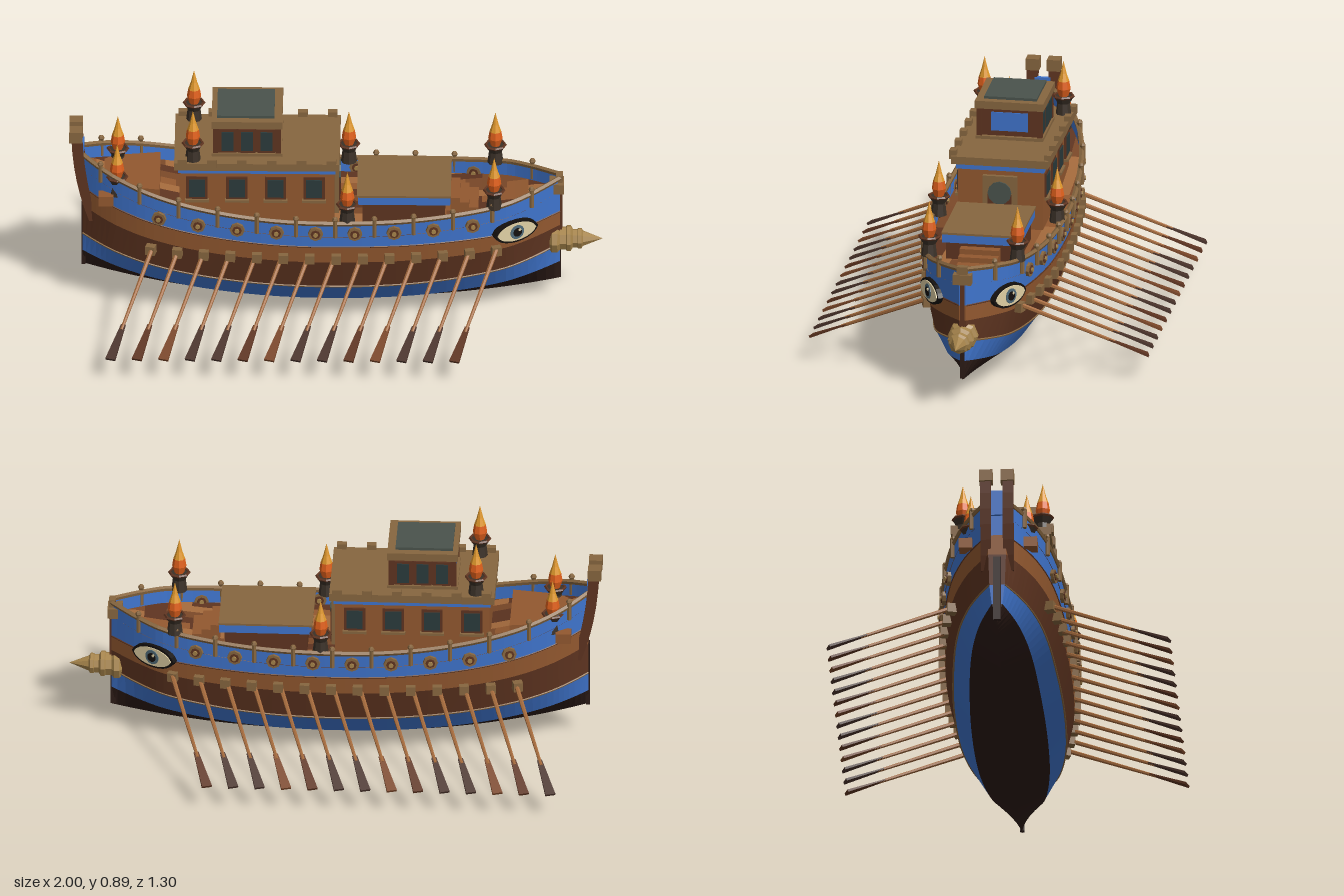
import * as THREE from 'three';

const BLUE = 0x3f74cc, BROWN = 0x92582f, DARK = 0x5e3420, KEEL = 0x2c1b16, TAN = 0x87663f, GLASS = 0x2b3b3c,
  SLATE = 0x4a534c, IRON = 0x3b3128, CREAM = 0xe0d0a4, BLACK = 0x14100e, GOLD = 0xa5834a, LIGHT = 0xa46a3c;

const mats = {};
function mat(color) {
  return mats[color] ??= new THREE.MeshStandardMaterial({ color, flatShading: true, side: THREE.DoubleSide });
}
function add(parent, name, geo, color, x = 0, y = 0, z = 0) {
  const m = new THREE.Mesh(geo, mat(color));
  m.name = name;
  m.position.set(x, y, z);
  parent.add(m);
  return m;
}
// Box given by its lower and upper corners
function box(parent, name, color, x0, x1, y0, y1, z0, z1) {
  return add(parent, name, new THREE.BoxGeometry(x1 - x0, y1 - y0, z1 - z0), color, (x0 + x1) / 2, (y0 + y1) / 2, (z0 + z1) / 2);
}
const group = (parent, name) => { const g = new THREE.Group(); g.name = name; parent.add(g); return g; };
const vectors = list => list.map(p => new THREE.Vector2(...p));

// Plan of the hull: half beam along x
const plan = new THREE.SplineCurve(vectors([[-0.95, 0.035], [-0.88, 0.095], [-0.8, 0.145], [-0.68, 0.19], [-0.5, 0.222], [-0.2, 0.245],
  [0.1, 0.245], [0.35, 0.225], [0.6, 0.175], [0.72, 0.112], [0.84, 0.014]])).getPoints(40);
function beam(x) {
  const i = plan.findIndex(p => p.x >= x);
  if (i < 1) return i === 0 ? plan[0].y : plan[plan.length - 1].y;
  const a = plan[i - 1], b = plan[i];
  return a.y + (b.y - a.y) * (x - a.x) / (b.x - a.x);
}
const yaw = x => Math.atan((beam(x - 0.03) - beam(x + 0.03)) / 0.06);
// Heights of the hull bands amidships, at the stern and at the bow, and their share of the beam
const MID = [0, 0.075, 0.163, 0.285, 0.355, 0.46], STERN = [0.14, 0.205, 0.285, 0.41, 0.49, 0.63],
  BOW = [0.09, 0.165, 0.245, 0.325, 0.385, 0.53], SHARE = [0, 0.57, 0.83, 0.955, 0.98, 1];
function level(x, k) {
  const t = Math.pow(Math.abs(x) / (x < 0 ? 0.95 : 0.84), 2.2);
  return MID[k] + ((x < 0 ? STERN : BOW)[k] - MID[k]) * t;
}
const deckY = x => level(x, 5) - 0.06;

// Surface between two rows of points
function ribbon(a, b) {
  const pos = [];
  for (let i = 0; i + 1 < a.length; i++)
    pos.push(...a[i], ...a[i + 1], ...b[i + 1], ...a[i], ...b[i + 1], ...b[i]);
  const g = new THREE.BufferGeometry();
  g.setAttribute('position', new THREE.Float32BufferAttribute(pos, 3));
  g.computeVertexNormals();
  return g;
}

function buildHull(ship) {
  const hull = group(ship, 'hull');
  const stations = [[-0.95, 0], ...plan.map(p => [p.x, p.y]), [0.84, 0]];
  const names = ['keelBand', 'lowerBlueBand', 'lowerPlanking', 'upperPlanking', 'bulwark'];
  const colors = [KEEL, BLUE, DARK, BROWN, BLUE];
  for (const s of [1, -1]) {
    const row = k => stations.map(([x, b]) => [x, level(x, k), s * b * SHARE[k]]);
    names.forEach((n, k) => add(hull, n, s > 0 ? ribbon(row(k), row(k + 1)) : ribbon(row(k + 1), row(k)), colors[k]));
    [[5, 0.01, TAN, 'topRail'], [2, 0.004, TAN, 'lowerTrim'], [4, 0.003, DARK, 'upperTrim']].forEach(([k, r, c, n]) => {
      const path = new THREE.CatmullRomCurve3(row(k).slice(1, -1).map(p => new THREE.Vector3(...p)));
      add(hull, n, new THREE.TubeGeometry(path, 50, r, 5), c);
    });
  }
  // Straight deck planks in mixed wood tones, trimmed to the hull's plan
  const tones = [BROWN, DARK, LIGHT, 0x7a4828], rows = 11, width = 0.045;
  const xs = plan.map(p => p.x);
  for (let r = 0; r < rows; r++)
    for (let i = 0, n = 0; i < xs.length - 1; n++) {
      const end = Math.min(xs.length - 1, i + 3 + ((r * 5 + n * 3) % 4));
      const edge = z => xs.slice(i, end + 1).map(x => [x, deckY(x), THREE.MathUtils.clamp(z, -beam(x), beam(x))]);
      const z = (r - rows / 2) * width;
      add(hull, 'deckPlank', ribbon(edge(z + width), edge(z)), tones[(r * 7 + n * 5 + ((r * n) % 3)) % 4]);
      i = end;
    }
}

function buildEnds(ship) {
  // Stem, prow block and stepped ram
  box(ship, 'stem', DARK, 0.825, 0.848, 0.3, 0.53, -0.008, 0.008);
  box(ship, 'stemFoot', KEEL, 0.825, 0.844, 0.095, 0.3, -0.008, 0.008);
  box(ship, 'prowBlock', TAN, 0.8, 0.855, 0.47, 0.51, -0.035, 0.035);
  box(ship, 'prowCap', TAN, 0.825, 0.85, 0.5, 0.54, -0.02, 0.02);
  const profile = [[0, 0], [0.045, 0], [0.057, 0.01], [0.057, 0.03], [0.045, 0.04], [0.045, 0.062], [0.05, 0.066], [0.05, 0.08],
    [0.036, 0.088], [0.036, 0.105], [0.04, 0.108], [0.04, 0.12], [0.03, 0.126], [0, 0.2]];
  add(ship, 'ram', new THREE.LatheGeometry(vectors(profile), 8), GOLD, 0.8, 0.26, 0).rotation.z = -Math.PI / 2;
  // Pair of curved sternposts, each with a block on top
  const shape = new THREE.Shape();
  shape.moveTo(-0.89, 0.355);
  shape.quadraticCurveTo(-0.945, 0.52, -0.952, 0.71);
  shape.lineTo(-0.992, 0.71);
  shape.quadraticCurveTo(-0.985, 0.52, -0.925, 0.355);
  const post = new THREE.ExtrudeGeometry(shape, { depth: 0.04, bevelEnabled: false, curveSegments: 6 });
  for (const s of [1, -1]) {
    add(ship, 'sternpost', post, DARK, 0, 0, s * 0.042 - 0.02);
    box(ship, 'sternBlock', TAN, -1, -0.95, 0.695, 0.74, s * 0.04 - 0.025, s * 0.04 + 0.025);
    box(ship, 'sternCleat', BROWN, -0.89, -0.833, 0.47, 0.51, s * 0.122 - 0.025, s * 0.122 + 0.025);
  }
  box(ship, 'sternKeel', KEEL, -0.955, -0.94, 0.14, 0.4, -0.014, 0.014);
  box(ship, 'sternPanel', BLUE, -0.96, -0.945, 0.57, 0.67, -0.03, 0.03);
  // Raised stern platform
  const p = new THREE.Shape(vectors([[-0.91, -0.06], [-0.83, -0.115], [-0.66, -0.14], [-0.66, 0.14], [-0.83, 0.115], [-0.91, 0.06]]));
  add(ship, 'sternPlatform', new THREE.ExtrudeGeometry(p, { depth: 0.09, bevelEnabled: false }), BROWN, 0, 0.54, 0).rotation.x = Math.PI / 2;
}

// Glazed window facing along z, set on a wall at side s
function windowPane(parent, s, x, y, z, w, h) {
  const f = box(parent, 'windowFrame', DARK, x - w / 2 - 0.01, x + w / 2 + 0.01, y - h / 2 - 0.01, y + h / 2 + 0.01, -0.004, 0.004);
  f.position.z = s * z;
  box(parent, 'windowGlass', GLASS, x - w / 2, x + w / 2, y - h / 2, y + h / 2, -0.004, 0.004).position.z = s * (z + 0.004);
}

function buildHouse(ship) {
  const house = group(ship, 'deckHouse');
  box(house, 'walls', BROWN, -0.585, -0.005, 0.39, 0.635, -0.162, 0.162);
  box(house, 'blueFrieze', BLUE, -0.59, 0, 0.628, 0.65, -0.167, 0.167);
  box(house, 'roof', TAN, -0.605, 0.015, 0.65, 0.68, -0.185, 0.185);
  // Battlements around the roof edge, windows below
  for (const s of [1, -1]) {
    for (let i = 0; i < 6; i++) {
      const x = -0.575 + i * 0.112;
      box(house, 'battlement', TAN, x - 0.018, x + 0.018, 0.665, 0.7, s * 0.18 - 0.013, s * 0.18 + 0.013);
    }
    for (const x of [-0.52, -0.37, -0.225, -0.08]) {
      windowPane(house, s, x, 0.565, 0.164, 0.06, 0.075);
      box(house, 'windowSill', TAN, x - 0.045, x + 0.045, 0.508, 0.518, s * 0.168 - 0.01, s * 0.168 + 0.01);
    }
  }
  // Arched door in a frame
  box(house, 'doorFrame', TAN, -0.006, 0.012, 0.4, 0.61, -0.065, 0.065);
  box(house, 'door', DARK, 0, 0.017, 0.4, 0.54, -0.045, 0.045);
  add(house, 'doorArch', new THREE.CylinderGeometry(0.045, 0.045, 0.02, 12), SLATE, 0.008, 0.545, 0).rotation.z = Math.PI / 2;
  // Upper cabin
  const cabin = group(ship, 'upperCabin');
  box(cabin, 'cabinWalls', DARK, -0.45, -0.215, 0.675, 0.81, -0.115, 0.115);
  box(cabin, 'cabinBase', TAN, -0.465, -0.2, 0.675, 0.692, -0.128, 0.128);
  box(cabin, 'cabinRoof', TAN, -0.465, -0.2, 0.8, 0.83, -0.13, 0.13);
  box(cabin, 'roofPlate', SLATE, -0.445, -0.23, 0.83, 0.84, -0.1, 0.1);
  box(cabin, 'cabinEndWindows', BLUE, -0.454, -0.211, 0.712, 0.785, -0.07, 0.07);
  for (const s of [1, -1]) {
    for (const x of [-0.405, -0.333, -0.26]) windowPane(cabin, s, x, 0.742, 0.117, 0.045, 0.08);
    for (const x of [-0.45, -0.215]) box(cabin, 'cabinPost', DARK, x - 0.01, x + 0.01, 0.68, 0.81, s * 0.115 - 0.01, s * 0.115 + 0.01);
  }
  // Hatch on the foredeck and the steps ahead of it
  const hatch = group(ship, 'hatch');
  box(hatch, 'hatchWalls', DARK, 0.1, 0.41, 0.38, 0.495, -0.135, 0.135);
  box(hatch, 'hatchEdge', BLUE, 0.085, 0.43, 0.485, 0.517, -0.148, 0.148);
  box(hatch, 'hatchCover', TAN, 0.08, 0.432, 0.517, 0.525, -0.15, 0.15);
  for (let i = 0; i < 3; i++) box(hatch, 'step', BROWN, 0.43 + i * 0.035, 0.465 + i * 0.035, 0.39, 0.475 - i * 0.02, -0.075, 0.075);
}

function buildSides(ship) {
  const oars = group(ship, 'oars'), fittings = group(ship, 'sideFittings');
  for (const s of [1, -1]) {
    for (let i = 0; i < 14; i++) {
      const x = -0.69 + i * 0.0992, z = beam(x) * 0.955;
      const port = add(oars, 'oarPort', new THREE.BoxGeometry(0.036, 0.036, 0.05), TAN, x, 0.308, s * z);
      port.rotation.y = s * yaw(x);
      // Oar runs from the port out to a fixed tip line
      const tip = new THREE.Vector3(x - 0.148, 0.093, s * 0.64);
      const root = new THREE.Vector3(x + 0.006, 0.318, s * 0.18);
      const oar = group(oars, 'oar');
      oar.position.copy(root);
      oar.lookAt(tip);
      const len = root.distanceTo(tip);
      const shaft = add(oar, 'oarShaft', new THREE.CylinderGeometry(0.006, 0.009, len - 0.14, 6), LIGHT, 0, 0, (len - 0.14) / 2);
      shaft.rotation.x = Math.PI / 2;
      const blade = new THREE.CylinderGeometry(0.027, 0.013, 0.165, 4, 1).rotateY(Math.PI / 4).scale(1, 1, 0.25);
      add(oar, 'oarBlade', blade, [0x4a332a, 0x7a4628, DARK][(i * 2 + (i >> 2)) % 3], 0, 0, len - 0.0825).rotation.x = Math.PI / 2;
    }
    // Rail posts with round shields between them
    for (let i = -6; i < 6; i++) {
      const x = i * 0.147, y = level(x, 5);
      add(fittings, 'railPost', new THREE.CylinderGeometry(0.009, 0.009, 0.075, 6), TAN, x, y - 0.018, s * (beam(x) + 0.006));
      add(fittings, 'railKnob', new THREE.SphereGeometry(0.012, 6, 4), TAN, x, y + 0.02, s * (beam(x) + 0.004));
      if (i < -5 || i > 3) continue;
      const xs = x + 0.0735, shield = group(fittings, 'shield');
      shield.position.set(xs, 0.418 + (level(xs, 5) - 0.46) * 0.4, s * (beam(xs) + 0.003));
      shield.rotation.y = s > 0 ? yaw(xs) : Math.PI - yaw(xs);
      [[0.028, 0.014, TAN, 'shieldRim'], [0.018, 0.02, DARK, 'shieldFace'], [0.009, 0.032, GOLD, 'shieldBoss']].forEach(([r, d, c, n]) =>
        add(shield, n, new THREE.CylinderGeometry(r, r, d, 8).rotateX(Math.PI / 2), c));
    }
    // Painted eye at the bow
    const eye = group(ship, 'bowEye');
    eye.position.set(0.677, 0.378, s * (beam(0.675) + 0.008));
    eye.rotation.y = s > 0 ? yaw(0.675) : Math.PI - yaw(0.675);
    const lens = (name, w, h, d, color) => {
      const sh = new THREE.Shape();
      sh.moveTo(-w, 0);
      sh.bezierCurveTo(-w * 0.75, h * 1.33, w * 0.75, h * 1.33, w, 0);
      sh.bezierCurveTo(w * 0.75, -h * 1.33, -w * 0.75, -h * 1.33, -w, 0);
      add(eye, name, new THREE.ExtrudeGeometry(sh, { depth: d + 0.02, bevelEnabled: false, curveSegments: 10 }), color, 0, 0, -0.02);
    };
    lens('eyeOutline', 0.094, 0.046, 0.004, BLACK);
    lens('eyeWhite', 0.083, 0.037, 0.008, CREAM);
    [[0.029, 0.022, 0x4f6a78, 'iris'], [0.018, 0.028, BLACK, 'pupil']].forEach(([r, d, c, n]) =>
      add(eye, n, new THREE.CylinderGeometry(r, r, d, 14).rotateX(Math.PI / 2), c));
    add(eye, 'glint', new THREE.CylinderGeometry(0.006, 0.006, 0.032, 6).rotateX(Math.PI / 2), CREAM, 0.008, 0.01, 0);
  }
}

function buildTorches(ship) {
  // Flame in two tones: a red-orange body and a golden tip
  const body = vectors([[0, 0], [0.018, 0], [0.027, 0.03], [0.022, 0.06]]);
  const tip = vectors([[0.022, 0.06], [0.012, 0.09], [0, 0.14]]);
  for (const [x, y, z] of [[-0.82, 0.515, 0.105], [-0.535, 0.69, 0.15], [0.045, 0.472, 0.225], [0.595, 0.505, 0.168]])
    for (const s of [1, -1]) {
      const t = group(ship, 'torch');
      t.position.set(x, y, s * z);
      add(t, 'torchBase', new THREE.CylinderGeometry(0.024, 0.03, 0.05, 8), IRON, 0, 0.01, 0);
      add(t, 'torchBowl', new THREE.CylinderGeometry(0.04, 0.024, 0.028, 8), IRON, 0, 0.046, 0);
      add(t, 'bowlRim', new THREE.TorusGeometry(0.037, 0.006, 5, 8).rotateX(Math.PI / 2), DARK, 0, 0.06, 0);
      add(t, 'flameBody', new THREE.LatheGeometry(body, 8), 0xe0601c, 0, 0.06, 0);
      add(t, 'flameTip', new THREE.LatheGeometry(tip, 8), 0xe0982c, 0, 0.06, 0);
    }
}

export function createModel() {
  const ship = new THREE.Group();
  ship.name = 'galley';
  [buildHull, buildEnds, buildHouse, buildSides, buildTorches].forEach(build => build(ship));
  return ship;
}
